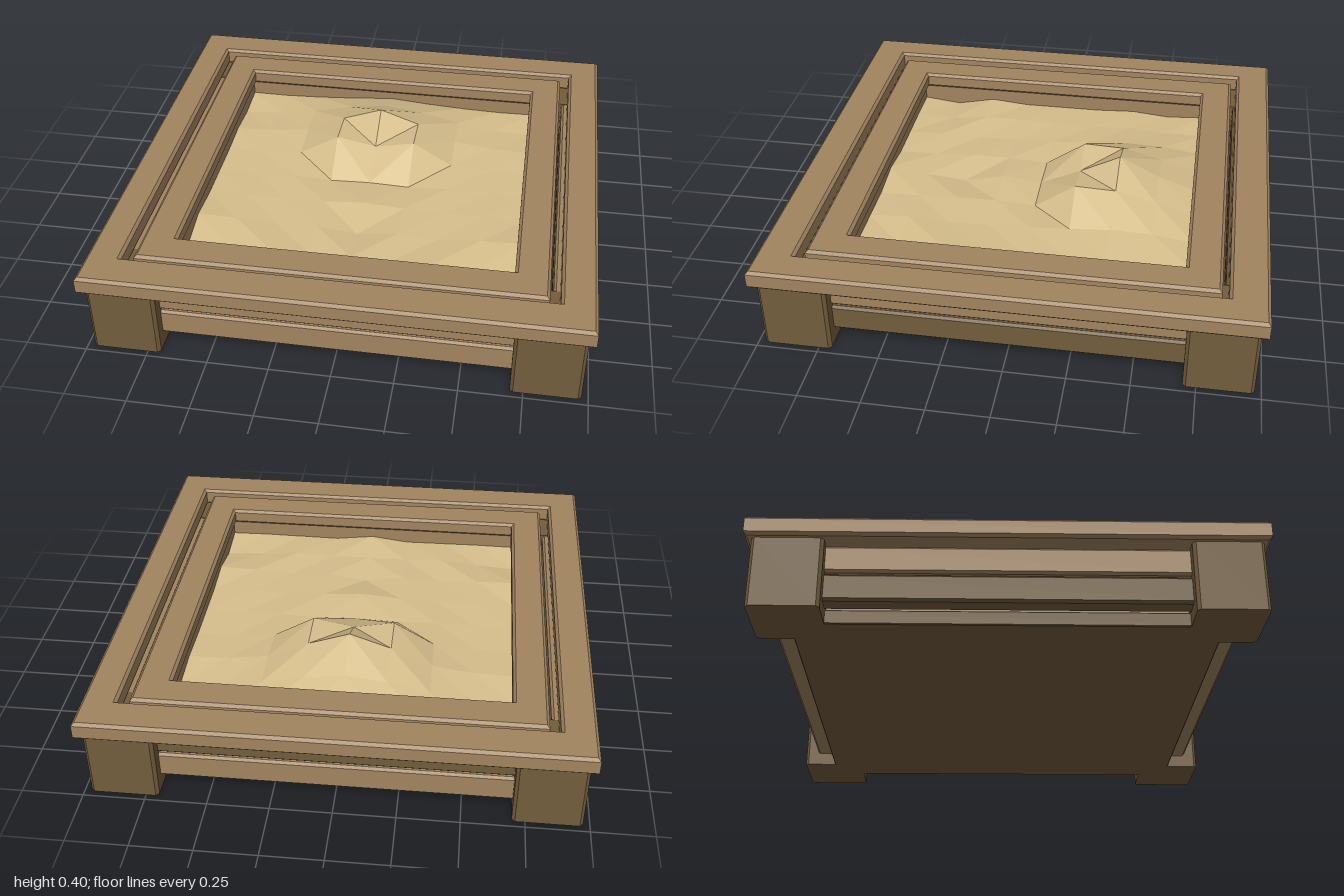
import * as THREE from 'three';

const mat = (name, color) => {
  const m = new THREE.MeshStandardMaterial({ color });
  m.name = name;
  return m;
};

// Bevelled slab of size w x d between heights y0 and y1, with an optional hole [w, d]
function slab(w, d, y0, y1, bevel, hole) {
  const rect = (T, a, b) => {
    const p = new T();
    p.moveTo(-a, -b); p.lineTo(a, -b); p.lineTo(a, b); p.lineTo(-a, b); p.closePath();
    return p;
  };
  const shape = rect(THREE.Shape, w / 2 - bevel, d / 2 - bevel);
  if (hole) shape.holes.push(rect(THREE.Path, hole[0] / 2 + bevel, hole[1] / 2 + bevel));
  const g = new THREE.ExtrudeGeometry(shape, {
    depth: y1 - y0 - 2 * bevel, bevelEnabled: true,
    bevelSize: bevel, bevelThickness: bevel, bevelSegments: 1,
  });
  g.rotateX(-Math.PI / 2);
  g.translate(0, y0 + bevel, 0);
  return g;
}

// Heights by row (back to front) and by distance from the centre line
const HEIGHTS = [
  [0.250, 0.235, 0.225, 0.220, 0.222],
  [0.312, 0.290, 0.250, 0.222, 0.212],
  [0.397, 0.335, 0.255, 0.232, 0.228],
  [0.308, 0.342, 0.240, 0.226, 0.220],
  [0.228, 0.222, 0.230, 0.226, 0.220],
  [0.245, 0.232, 0.224, 0.230, 0.220],
  [0.205, 0.230, 0.220, 0.232, 0.236],
  [0.222, 0.222, 0.230, 0.212, 0.200],
  [0.240, 0.218, 0.220, 0.222, 0.220],
];

// Low-poly terrain whose diagonals are mirrored about the centre line
function sandSurface() {
  const n = 8, half = 0.7, step = 2 * half / n, pos = [];
  const put = (i, j) =>
    pos.push(-half + i * step, HEIGHTS[j][Math.abs(i - n / 2)], -half + j * step);
  for (let j = 0; j < n; j++) for (let i = 0; i < n; i++) {
    const a = [i, j], b = [i + 1, j], c = [i + 1, j + 1], d = [i, j + 1];
    const tris = i < n / 2 ? [a, c, b, a, d, c] : [a, d, b, b, d, c];
    tris.forEach(p => put(p[0], p[1]));
  }
  const g = new THREE.BufferGeometry();
  g.setAttribute('position', new THREE.Float32BufferAttribute(pos, 3));
  g.computeVertexNormals();
  return g;
}

export function createModel() {
  const wood = mat('wood', 0xa28460);
  const darkWood = mat('dark wood', 0x735d3c);
  const sand = mat('sand', 0xd6be8c);
  const model = new THREE.Group();
  model.name = 'sandbox';
  const add = (name, geo, material, x = 0, z = 0, turn = 0) => {
    const m = new THREE.Mesh(geo, material);
    m.name = name;
    m.position.set(x, 0, z);
    m.rotation.y = turn;
    model.add(m);
  };

  // Floor, recessed inner walls, inner frame and the wide rim around it
  add('floor', slab(1.66, 1.66, 0, 0.06, 0.004), darkWood);
  add('innerWalls', slab(1.6, 1.6, 0.055, 0.3, 0.002, [1.39, 1.39]), wood);
  add('innerFrame', slab(1.64, 1.64, 0.29, 0.36, 0.012, [1.36, 1.35]), wood);
  add('rim', slab(2, 2, 0.29, 0.37, 0.012, [1.72, 1.69]), wood);
  add('sand', sandSurface(), sand);

  // Corner posts
  const post = new THREE.Shape();
  const h = 0.138, c = 0.013;
  [[-h + c, -h], [h - c, -h], [h, -h + c], [h, h - c], [h - c, h], [-h + c, h], [-h, h - c], [-h, -h + c]]
    .forEach(([x, y], i) => (i ? post.lineTo(x, y) : post.moveTo(x, y)));
  const postGeo = new THREE.ExtrudeGeometry(post, { depth: 0.295, bevelEnabled: false });
  postGeo.rotateX(-Math.PI / 2);
  for (const sx of [-1, 1]) for (const sz of [-1, 1])
    add('cornerPost', postGeo, darkWood, sx * 0.836, sz * 0.836);

  // Two planks on each side: front, left, back, right
  const upper = slab(1.42, 0.08, 0.178, 0.292, 0.01);
  const lower = slab(1.42, 0.08, 0.056, 0.17, 0.01);
  const tones = [[wood, wood], [wood, darkWood], [darkWood, wood], [wood, darkWood]];
  tones.forEach(([top, bottom], i) => {
    const a = i * Math.PI / 2, r = 0.875;
    add('upperPlank', upper, top, Math.sin(a) * r, Math.cos(a) * r, a);
    add('lowerPlank', lower, bottom, Math.sin(a) * r, Math.cos(a) * r, a);
  });
  return model;
}
